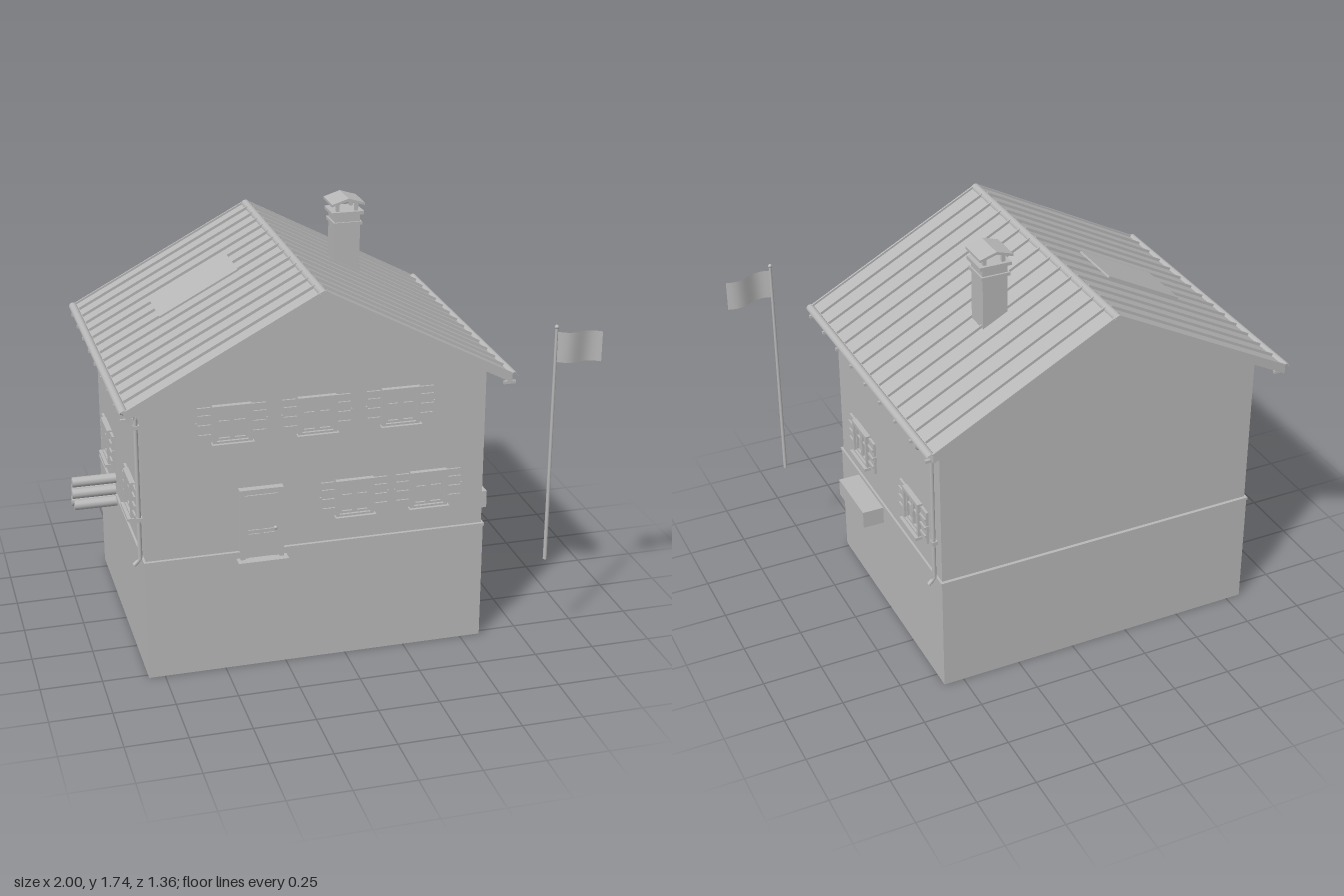
import * as THREE from 'three';

const CX = -0.115, APEX = 1.595, SLOPE = 0.53, ANGLE = Math.atan(SLOPE);

export function createModel() {
  const model = new THREE.Group();
  model.name = 'house';
  const grey = new THREE.MeshStandardMaterial({ color: 0xb8b8b8, side: THREE.DoubleSide });
  grey.name = 'stone grey';

  const add = (parent, name, geometry, x = 0, y = 0, z = 0) => {
    const mesh = new THREE.Mesh(geometry, grey);
    mesh.name = name;
    mesh.position.set(x, y, z);
    parent.add(mesh);
    return mesh;
  };
  const box = (parent, name, w, h, d, x, y, z) => add(parent, name, new THREE.BoxGeometry(w, h, d), x, y, z);
  // Prism along z from a cross-section
  const prism = (parent, name, points, z0, z1) => {
    const shape = new THREE.Shape(points.map(([x, y]) => new THREE.Vector2(x, y)));
    return add(parent, name, new THREE.ExtrudeGeometry(shape, { depth: z1 - z0, bevelEnabled: false }), 0, 0, z0);
  };
  // Tube along straight segments
  const pipe = (parent, name, points, r) => {
    const path = new THREE.CurvePath();
    const v = points.map((p) => new THREE.Vector3(...p));
    for (let i = 1; i < v.length; i++) path.add(new THREE.LineCurve3(v[i - 1], v[i]));
    return add(parent, name, new THREE.TubeGeometry(path, 40, r, 8));
  };
  const group = (name, x = 0, y = 0, z = 0) => {
    const g = new THREE.Group();
    g.name = name;
    g.position.set(x, y, z);
    model.add(g);
    return g;
  };

  // Foundation and gabled walls
  box(model, 'foundation', 1.4, 0.51, 1.096, CX, 0.255, -0.025);
  box(model, 'foundationLedge', 1.408, 0.012, 1.104, CX, 0.508, -0.025);
  const wallTop = APEX - 0.035 - SLOPE * 0.695;
  prism(model, 'walls', [[CX - 0.695, 0.5], [CX + 0.695, 0.5], [CX + 0.695, wallTop],
    [CX, APEX - 0.03], [CX - 0.695, wallTop]], -0.563, 0.513);

  // Roof slab, ridge cap and standing seams
  const run = 0.765, eave = APEX - SLOPE * run, Z0 = -0.675, Z1 = 0.615;
  prism(model, 'roof', [[CX, APEX], [CX - run, eave], [CX - run, eave - 0.033], [CX, APEX - 0.033],
    [CX + run, eave - 0.033], [CX + run, eave]], Z0, Z1);
  const ridge = add(model, 'ridgeCap', new THREE.CylinderGeometry(0.019, 0.019, Z1 - Z0 + 0.006, 12), CX, APEX - 0.011, (Z0 + Z1) / 2);
  ridge.rotation.x = Math.PI / 2;
  const slopeLength = run / Math.cos(ANGLE);
  for (const s of [-1, 1]) {
    const slope = group('roofSeams', CX, APEX, 0);
    slope.rotation.z = -s * ANGLE;
    for (let i = 0; i < 13; i++)
      box(slope, 'seam', slopeLength - 0.02, 0.014, 0.007, s * slopeLength / 2, 0.004, 0.523 - i * 0.0925);
    for (const z of [Z0 + 0.004, Z1 - 0.004])
      box(slope, 'vergeTrim', slopeLength, 0.012, 0.008, s * slopeLength / 2, 0.002, z);
    if (s < 0) box(slope, 'solarPanel', 0.368, 0.008, 0.247, -0.393, 0.018, -0.112);

    // Gutter with brackets
    const gx = CX + s * 0.773;
    const gutter = add(model, 'gutter', new THREE.CylinderGeometry(0.018, 0.018, Z1 - Z0, 10, 1, true, Math.PI / 2 * 3, Math.PI),
      gx, 1.182, (Z0 + Z1) / 2);
    gutter.rotation.x = -Math.PI / 2;
    for (let i = 0; i < 9; i++)
      box(model, 'gutterBracket', 0.05, 0.012, 0.012, gx - s * 0.012, 1.153, 0.595 - i * 0.1548);

    // Downpipe, with clamps
    const pz = s > 0 ? -0.518 : 0.47, wx = CX + s * 0.709;
    pipe(model, 'downpipe', [[gx, 1.165, pz], [gx, 1.14, pz], [wx, 1.115, pz], [wx, 0.51, pz], [wx + s * 0.025, 0.485, pz]], 0.009);
    for (const y of [1.07, 0.68]) box(model, 'pipeClamp', 0.026, 0.016, 0.024, wx - s * 0.003, y, pz);
  }

  // Chimney with collars, posts and a folded cap
  const chimney = group('chimney', 0.189, 0, -0.18);
  box(chimney, 'stack', 0.106, 0.265, 0.106, 0, 1.5325, 0);
  box(chimney, 'lowerCollar', 0.122, 0.014, 0.122, 0, 1.628, 0);
  box(chimney, 'neck', 0.1, 0.04, 0.1, 0, 1.65, 0);
  box(chimney, 'upperCollar', 0.136, 0.014, 0.122, 0, 1.672, 0);
  for (const x of [-0.04, 0.04]) for (const z of [-0.04, 0.04])
    box(chimney, 'capPost', 0.014, 0.042, 0.014, x, 1.695, z);
  prism(chimney, 'chimneyCap', [[-0.07, 1.706], [0, 1.726], [0.07, 1.706], [0.07, 1.716], [0, 1.738], [-0.07, 1.716]], -0.068, 0.068);

  // Shuttered window facing local +z, centred on the origin
  const addWindow = (x, y, z, turn, shutterOut) => {
    const w = group('window', x, y, z);
    w.rotation.y = turn;
    const frame = (name, hw, hh, t, d, zc, cx = 0) => {
      for (const s of [-1, 1]) {
        box(w, name, t, hh * 2, d, cx + s * (hw - t / 2), 0, zc);
        box(w, name, hw * 2 - 2 * t, t, d, cx, s * (hh - t / 2), zc);
      }
    };
    frame('windowFrame', 0.078, 0.08, 0.015, 0.026, 0.009);
    for (const s of [-1, 1]) {
      frame('casement', 0.0305, 0.064, 0.009, 0.014, 0.006, s * 0.0315);
      box(w, 'glazingBar', 0.044, 0.006, 0.008, s * 0.0315, 0.012, 0.007);
      // Shutter panel with three rails and outer hook
      const sx = s * 0.109;
      box(w, 'shutter', 0.056, 0.148, shutterOut, sx, 0, shutterOut / 2);
      for (const ry of [-0.04, 0, 0.04])
        box(w, 'shutterRail', 0.052, 0.01, 0.01, sx, ry, shutterOut + 0.002);
      box(w, 'shutterHook', 0.005, 0.026, 0.012, s * 0.14, 0, 0.005);
    }
    box(w, 'glass', 0.126, 0.13, 0.004, 0, 0, 0.002);
    box(w, 'windowSill', 0.168, 0.012, 0.04, 0, -0.079, 0.016);
  };
  for (const x of [-0.457, -0.118, 0.222]) addWindow(x, 1.066, 0.513, 0, 0.008);
  for (const x of [0.037, 0.345]) addWindow(x, 0.696, 0.513, 0, 0.008);
  for (const z of [0.25, -0.302]) {
    addWindow(0.58, 0.693, z, Math.PI / 2, 0.01);
    addWindow(-0.81, 0.693, z, -Math.PI / 2, 0.01);
  }

  // Front door and step
  const door = group('door', -0.347, 0, 0.513);
  for (const s of [-1, 1]) {
    box(door, 'doorPost', 0.018, 0.305, 0.034, s * 0.079, 0.633, 0.012);
    box(door, 'doorPanel', 0.05, 0.085, 0.008, s * 0.033, 0.548, 0.017);
    box(door, 'doorStile', 0.014, 0.27, 0.01, s * 0.061, 0.622, 0.016);
  }
  box(door, 'doorLeaf', 0.14, 0.285, 0.024, 0, 0.628, 0.003);
  box(door, 'doorLintel', 0.178, 0.02, 0.036, 0, 0.776, 0.013);
  box(door, 'doorTopRail', 0.11, 0.014, 0.01, 0, 0.75, 0.016);
  box(door, 'doorMiddleRail', 0.11, 0.014, 0.01, 0, 0.6, 0.016);
  box(door, 'doorMullion', 0.008, 0.14, 0.008, 0, 0.675, 0.016);
  add(door, 'doorHandle', new THREE.SphereGeometry(0.008, 10, 8), 0.055, 0.612, 0.028);
  box(door, 'doorStep', 0.204, 0.024, 0.07, 0, 0.473, 0.022);

  // Wall box under the side window
  box(model, 'planterBox', 0.09, 0.075, 0.276, 0.65, 0.493, 0.129);

  // Stacked firewood
  const logs = group('firewood');
  const rows = [3, 2, 1];
  rows.forEach((count, row) => {
    for (let i = 0; i < count; i++) {
      const short = row === 0 && i === 0;
      const length = short ? 0.15 : 0.185;
      const log = add(logs, 'log', new THREE.CylinderGeometry(0.022, 0.022, length, 10),
        -0.81 - length / 2 - (i % 2) * 0.005, 0.488 + row * 0.042, -0.229 + row * 0.023 + i * 0.046);
      log.rotation.z = Math.PI / 2;
    }
  });

  // Flagpole with waving flag
  add(model, 'flagpole', new THREE.CylinderGeometry(0.006, 0.008, 1.0, 10), 0.805, 0.89, 0.664);
  add(model, 'poleKnob', new THREE.SphereGeometry(0.009, 10, 8), 0.805, 1.391, 0.664);
  const flag = new THREE.PlaneGeometry(0.19, 0.125, 10, 1);
  const p = flag.attributes.position;
  for (let i = 0; i < p.count; i++) {
    const t = p.getX(i) / 0.19 + 0.5;
    p.setZ(i, 0.014 * Math.sin(t * Math.PI * 2));
    p.setY(i, p.getY(i) - 0.016 * t);
  }
  flag.computeVertexNormals();
  add(model, 'flag', flag, 0.905, 1.308, 0.664);

  return model;
}
